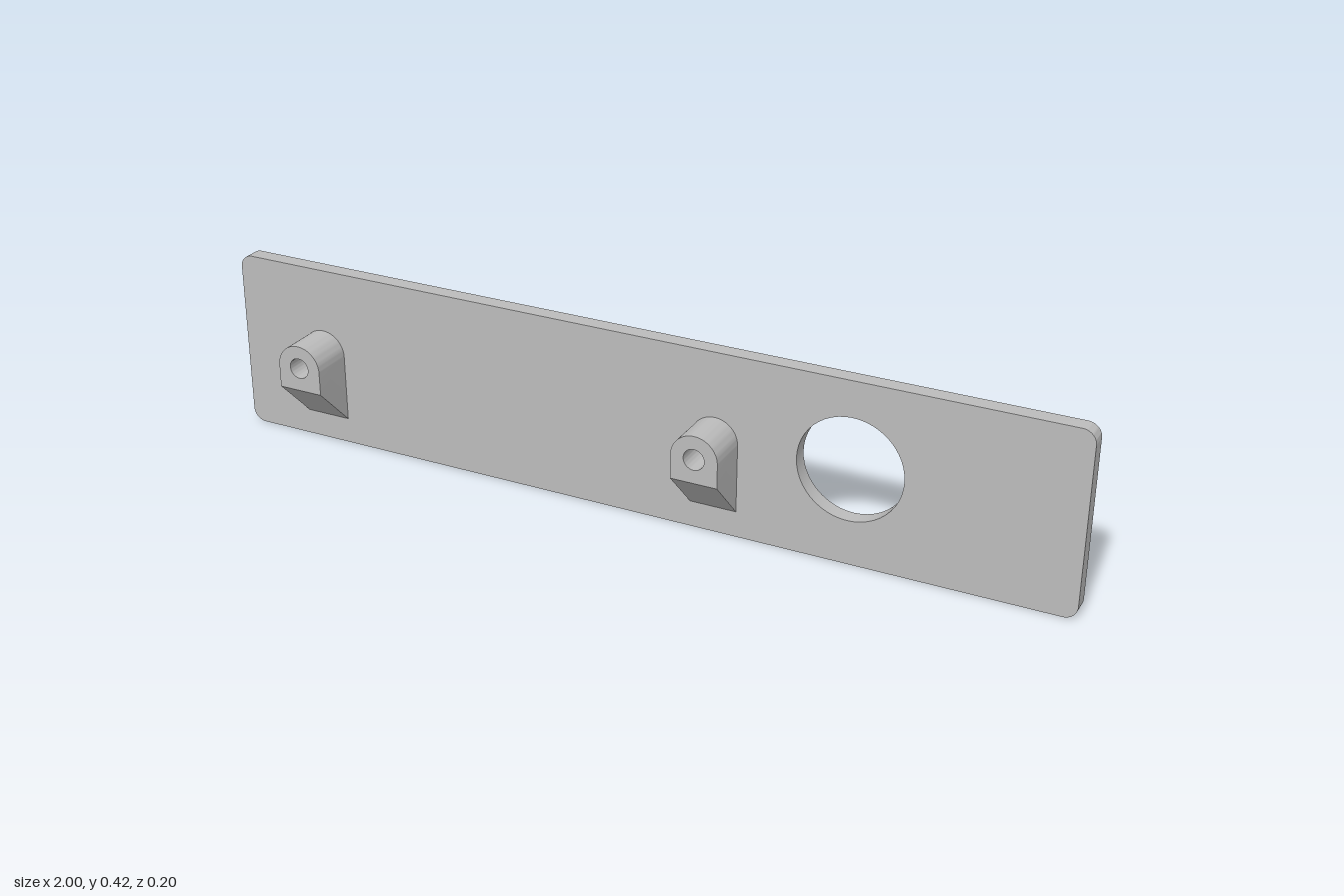
import * as THREE from 'three';
import { toCreasedNormals } from 'three/addons/utils/BufferGeometryUtils.js';

const FRONT = 0.003, BACK = -0.035;
const PEGS = [-0.785, 0.2], PEG_Y = 0.217, BORE = 0.024;

function circle(x, y, r) {
  return new THREE.Path().absarc(x, y, r, 0, Math.PI * 2, true);
}

// Rounded board with a large opening and two peg bores
function plateGeometry() {
  const r = 0.03, h = 0.42, q = Math.PI / 2;
  const s = new THREE.Shape();
  s.absarc(1 - r, r, r, -q, 0);
  s.absarc(1 - r, h - r, r, 0, q);
  s.absarc(-1 + r, h - r, r, q, 2 * q);
  s.absarc(-1 + r, r, r, 2 * q, 3 * q);
  s.holes.push(circle(0.505, 0.22, 0.118));
  for (const x of PEGS) s.holes.push(circle(x, PEG_Y, BORE));
  const g = new THREE.ExtrudeGeometry(s, { depth: FRONT - BACK, bevelEnabled: false, curveSegments: 24 });
  return toCreasedNormals(g.translate(0, 0, BACK), 0.5);
}

// Arched peg whose underside slopes up towards the front
function pegGeometry() {
  const w = 0.054, depth = 0.1;
  const s = new THREE.Shape();
  s.moveTo(-w, 0.06);
  s.lineTo(w, 0.06);
  s.absarc(0, PEG_Y, w, 0, Math.PI);
  s.holes.push(circle(0, PEG_Y, BORE));
  const g = new THREE.ExtrudeGeometry(s, { depth, bevelEnabled: false, curveSegments: 20 });
  const p = g.attributes.position;
  for (let i = 0; i < p.count; i++) {
    if (p.getY(i) < 0.07 && p.getZ(i) > depth / 2) p.setY(i, 0.162);
  }
  g.translate(0, 0, FRONT);
  return toCreasedNormals(g, 0.5);
}

// Faceted relief: each section gives x, foot y, crest y, crest height, slope y, slope height, top y
function mountainGeometry() {
  const sections = [
    [0.18, 0.18, 0.19, 0, 0.2, 0, 0.22],
    [0.09, 0.12, 0.155, 0.028, 0.21, 0.012, 0.245],
    [-0.03, 0.06, 0.12, 0.055, 0.18, 0.028, 0.24],
    [-0.12, 0.11, 0.15, 0.038, 0.185, 0.03, 0.215],
    [-0.25, 0.022, 0.1, 0.067, 0.16, 0.045, 0.225],
    [-0.39, 0.06, 0.13, 0.048, 0.17, 0.03, 0.235],
    [-0.48, 0.06, 0.11, 0.03, 0.18, 0.028, 0.235],
    [-0.6, 0.025, 0.09, 0.046, 0.16, 0.033, 0.235],
    [-0.67, 0.05, 0.12, 0.03, 0.175, 0.02, 0.23],
    [-0.74, 0.15, 0.16, 0, 0.18, 0, 0.2],
  ];
  const pos = [], index = [];
  sections.forEach(([x, foot, crest, ch, slope, sh, top], i) => {
    pos.push(x, foot, BACK, x, crest, BACK - ch, x, slope, BACK - sh, x, top, BACK);
    if (i === sections.length - 1) return;
    for (let j = 0; j < 3; j++) {
      const a = i * 4 + j, b = a + 4;
      if ((i + j) % 2) index.push(a, b, a + 1, b, b + 1, a + 1);
      else index.push(a, b, b + 1, a, b + 1, a + 1);
    }
  });
  const g = new THREE.BufferGeometry();
  g.setAttribute('position', new THREE.Float32BufferAttribute(pos, 3));
  g.setIndex(index);
  const flat = g.toNonIndexed();
  flat.computeVertexNormals();
  return flat;
}

// Half of a three-tiered, four-sided fir hanging tip down
function treeGeometry() {
  const profile = [
    [0, -0.15], [0.038, -0.09], [0.026, -0.082],
    [0.047, -0.045], [0.032, -0.036],
    [0.055, 0], [0.02, 0.009], [0.02, 0.047], [0, 0.06],
  ].map(([r, y]) => new THREE.Vector2(r, y));
  const g = new THREE.LatheGeometry(profile, 2, Math.PI / 2, Math.PI);
  g.scale(1, 1, 0.87);
  const flat = g.toNonIndexed();
  flat.computeVertexNormals();
  return flat;
}

export function createModel() {
  const group = new THREE.Group();
  const grey = new THREE.MeshStandardMaterial({ color: 0xbcbcbc });
  grey.name = 'grey';

  const add = (name, geometry) => {
    const mesh = new THREE.Mesh(geometry, grey);
    mesh.name = name;
    group.add(mesh);
    return mesh;
  };

  add('plate', plateGeometry());

  const peg = pegGeometry();
  PEGS.forEach((x, i) => { add(`peg${i + 1}`, peg).position.x = x; });

  add('mountains', mountainGeometry());

  // Trees: x, height of the widest tier, scale
  const tree = treeGeometry();
  [
    [0.835, 0.288, 1], [0.06, 0.317, 0.68], [-0.04, 0.308, 0.55], [-0.16, 0.32, 0.82],
    [-0.37, 0.313, 0.6], [-0.495, 0.32, 0.74], [-0.635, 0.307, 0.68],
  ].forEach(([x, y, s], i) => {
    const mesh = add(`tree${i + 1}`, tree);
    mesh.position.set(x, y, BACK);
    mesh.scale.setScalar(s);
  });

  return group;
}
